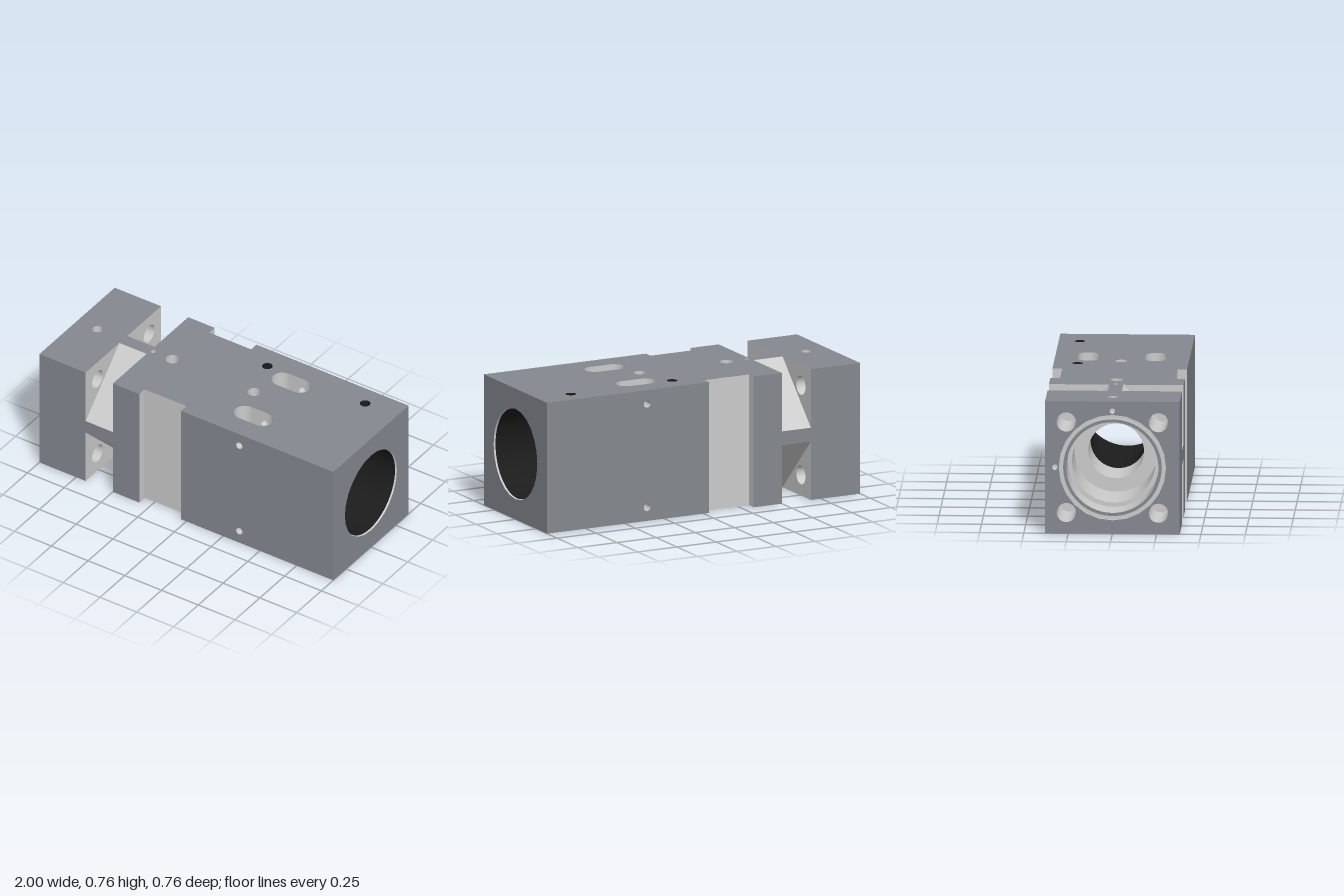
import * as THREE from 'three';
import { toCreasedNormals } from 'three/addons/utils/BufferGeometryUtils.js';

const H = 0.38;                 // half the square section
const R = 0.258;                // main bore radius
const SLOT = { x: 0.33, z: 0.19, r: 0.0625, len: 0.06 };
const N = 12;                   // segments per half circle

const mat = (color) => new THREE.MeshStandardMaterial({ color, side: THREE.DoubleSide });

export function createModel() {
  const model = new THREE.Group();
  const body = new THREE.Group();
  body.position.y = H;
  model.add(body);
  const painted = mat(0x858990), machined = mat(0xcccccc), dark = mat(0x1c1c1c);

  const add = (name, geometry, material) => {
    const mesh = new THREE.Mesh(geometry, material);
    mesh.name = name;
    body.add(mesh);
    return mesh;
  };

  // Outline of a round hole (len 0) or a slot with rounded ends
  const outline = ({ u, v, r, len = 0 }) => {
    const pts = [];
    for (const side of [1, -1]) {
      for (let i = 0; i <= N; i++) {
        const a = -Math.PI / 2 + (Math.PI * i) / N;
        pts.push(new THREE.Vector2(u + side * (len + r * Math.cos(a)), v + side * r * Math.sin(a)));
      }
    }
    return pts;
  };

  // Quads between two rows of points
  const strip = (rowA, rowB, skip = () => false) => {
    const pos = [];
    for (let i = 0; i < rowA.length - 1; i++) {
      if (skip(i)) continue;
      const [a, b, c, d] = [rowA[i], rowA[i + 1], rowB[i + 1], rowB[i]];
      for (const p of [a, b, c, a, c, d]) pos.push(p.x, p.y, p.z);
    }
    const g = new THREE.BufferGeometry();
    g.setAttribute('position', new THREE.Float32BufferAttribute(pos, 3));
    return toCreasedNormals(g, 0.6);
  };

  // Face planes: normal and horizontal direction
  const V = (x, y, z) => new THREE.Vector3(x, y, z);
  const planes = {
    '+x': [V(1, 0, 0), V(0, 0, -1)], '-x': [V(-1, 0, 0), V(0, 0, 1)],
    '+y': [V(0, 1, 0), V(1, 0, 0)], '-y': [V(0, -1, 0), V(1, 0, 0)],
    '+z': [V(0, 0, 1), V(1, 0, 0)], '-z': [V(0, 0, -1), V(-1, 0, 0)],
  };

  // Flat face with holes; a hole with a depth also gets walls, and a floor if blind
  const face = (name, dir, dist, corners, holes = [], material = painted) => {
    const [n, u] = planes[dir];
    const m = new THREE.Matrix4().makeBasis(u, n.clone().cross(u), n);
    m.setPosition(n.clone().multiplyScalar(dist));
    const shape = new THREE.Shape(corners.map(([a, b]) => new THREE.Vector2(a, b)));
    for (const h of holes) {
      const pts = outline(h);
      shape.holes.push(new THREE.Path(pts));
      if (!h.depth) continue;
      const depth = typeof h.depth === 'function' ? h.depth : () => h.depth;
      const loop = [...pts, pts[0]];
      const wall = strip(loop.map((p) => V(p.x, p.y, 0)), loop.map((p) => V(p.x, p.y, -depth(p.y))),
        (i) => i % (N + 1) === N);
      add(h.name || 'holeWall', wall.applyMatrix4(m), h.material || machined);
      if (h.blind) {
        const floor = new THREE.ShapeGeometry(new THREE.Shape(pts)).translate(0, 0, -h.depth);
        add('holeFloor', floor.applyMatrix4(m), h.material || machined);
      }
    }
    add(name, new THREE.ShapeGeometry(shape).applyMatrix4(m), material);
  };
  const rect = (a0, a1, b0, b1) => [[a0, b0], [a1, b0], [a1, b1], [a0, b1]];
  const square = rect(-H, H, -H, H);
  const center = (r) => ({ u: 0, v: 0, r });

  // Mounting flange
  const bolts = (depth) => [-0.26, 0.26].flatMap((u) => [-0.26, 0.26].map((v) =>
    ({ u, v, r: 0.055, depth, name: 'boltHole' })));
  const dowels = [[0, 0.325], [-0.325, 0]].map(([u, v]) => ({ u, v, r: 0.016, depth: 0.08, blind: true }));
  face('flangeFace', '-x', 1, square, [center(0.303), ...bolts(0.315), ...dowels]);
  face('flangeInnerFace', '+x', -0.685, square, [center(0.28), ...bolts(0)], machined);
  face('flangeTop', '+y', H, rect(-1, -0.685, -H, H), [{ u: -0.86, v: 0, r: 0.03, depth: 0.1, blind: true }]);
  face('flangeBottom', '-y', H, rect(-1, -0.685, -H, H));
  face('flangeFront', '+z', H, rect(-1, -0.685, -H, H));
  face('flangeBack', '-z', H, rect(0.685, 1, -H, H));

  // Neck with diagonal cuts giving room for the bolts
  for (let i = 0; i < 4; i++) {
    const flat = new THREE.PlaneGeometry(0.185, 0.08).translate(-0.5925, 0, H);
    add('neckFlat', flat.rotateX((i * Math.PI) / 2), painted);
    const cut = new THREE.PlaneGeometry(0.185, 0.34 * Math.SQRT2).translate(-0.5925, 0, 0.42 / Math.SQRT2);
    add('neckDiagonal', cut.rotateX((i + 0.5) * Math.PI / 2), machined);
  }

  // Top and bottom of the main body, waisted at the side grooves
  const plan = [[-0.5, -H], [-0.32, -H], [-0.32, -0.325], [-0.035, -0.325], [-0.035, -H], [1, -H],
    [1, H], [-0.035, H], [-0.035, 0.325], [-0.32, 0.325], [-0.32, H], [-0.5, H]];
  const boreHeight = (z) => Math.sqrt(R * R - z * z);
  const slots = [-1, 1].map((s) => ({ u: SLOT.x, v: s * SLOT.z, r: SLOT.r, len: SLOT.len,
    depth: (z) => H - boreHeight(z), name: 'slotEnds' }));
  const blind = (u, v, r, depth, material) => ({ u, v, r, depth, blind: true, material });
  face('bodyTop', '+y', H, plan, [...slots, blind(-0.48, 0, 0.015, 0.06), blind(-0.35, 0, 0.04, 0.09),
    blind(0.205, 0, 0.038, 0.08), blind(0.13, 0.245, 0.03, 0.2, dark), blind(0.785, 0.26, 0.03, 0.2, dark)]);
  face('bodyBottom', '-y', H, plan, [...slots, blind(0.13, -0.245, 0.018, 0.15), blind(0.785, -0.26, 0.018, 0.15)]);

  // Body ends and steps
  face('collarInnerFace', '-x', 0.5, square, [center(0.28)], machined);
  face('bodyEnd', '+x', 1, square, [center(0.2625)]);
  for (const s of [-1, 1]) {
    const [a, b] = s > 0 ? [0.325, H] : [-H, -0.325];
    face('grooveStep', '+x', -0.32, rect(a, b, -H, H), [], machined);
    face('grooveStep', '-x', 0.035, rect(a, b, -H, H), [], machined);
  }

  // Body sides with cross holes
  const outer = SLOT.z + SLOT.r, inner = SLOT.z - SLOT.r;
  for (const [dir, s] of [['+z', 1], ['-z', -1]]) {
    const span = (x0, x1) => rect(Math.min(s * x0, s * x1), Math.max(s * x0, s * x1), -H, H);
    const cross = (v, depth) => ({ u: s * 0.36, v, r: 0.022, depth, name: 'crossHole' });
    face('collarSide', dir, H, span(-0.5, -0.32));
    face('grooveSide', dir, 0.325, span(-0.32, -0.035), [], machined);
    face('bodySide', dir, H, span(-0.035, 1), [cross(0.3, H - outer), cross(-0.3, H - outer)]);
    // Straight slot walls, pierced by the cross holes
    for (const t of [-1, 1]) {
      for (const z of [outer, inner]) {
        const x0 = s * SLOT.x - SLOT.len, x1 = s * SLOT.x + SLOT.len, y = boreHeight(z);
        const depth = z === inner ? inner : 0;
        face('slotWall', dir, z, t > 0 ? rect(x0, x1, y, H) : rect(x0, x1, -H, -y), [cross(t * 0.3, depth)], machined);
      }
    }
  }

  // Bore sections turned about the x axis, as [radius, x]
  const turned = (name, profile, material) => {
    const g = new THREE.LatheGeometry(profile.map(([r, x]) => new THREE.Vector2(r, x)), 72);
    add(name, toCreasedNormals(g.rotateZ(-Math.PI / 2), 0.5), material);
  };
  const reach = SLOT.len + SLOT.r;
  turned('sealGroove', [[0.303, -1], [0.303, -0.975], [0.278, -0.975], [0.278, -1]], machined);
  turned('flangeRim', [[0.278, -1], [0.26, -1]], painted);
  turned('flangeBore', [[0.26, -1], [0.26, -0.82], [0.235, -0.82], [0.235, -0.5], [0.157, -0.5], [0.157, -0.2]], machined);
  turned('steppedBore', [[0.157, -0.2], [0.157, 0.08], [0.193, 0.08], [0.193, 0.12], [R, 0.12], [R, SLOT.x - reach]], dark);
  turned('threadedBore', [[R, SLOT.x + reach], [R, 0.99]], dark);
  turned('boreChamfer', [[R, 0.99], [0.2625, 1]], machined);

  // Bore section opened by the slots
  const columns = [];
  for (let i = 0; i <= N; i++) {
    const a = Math.PI - (Math.PI * i) / N;
    const dx = Math.cos(a) * SLOT.r, h = Math.sin(a) * SLOT.r;
    if (dx < 1e-6) columns.push([SLOT.x - SLOT.len + dx, h]);
    if (dx > -1e-6) columns.push([SLOT.x + SLOT.len + dx, h]);
  }
  const arcRow = ([x, h], k) => {
    const t1 = Math.asin((SLOT.z - h) / R), t2 = Math.asin((SLOT.z + h) / R);
    const [a, b] = [[-t1, t1], [t2, Math.PI - t2], [Math.PI - t1, Math.PI + t1], [Math.PI + t2, 2 * Math.PI - t2]][k];
    return Array.from({ length: 17 }, (_, j) => {
      const t = a + ((b - a) * j) / 16;
      return V(x, R * Math.cos(t), R * Math.sin(t));
    });
  };
  for (let k = 0; k < 4; k++) {
    for (let i = 0; i < columns.length - 1; i++) {
      add('slottedBore', strip(arcRow(columns[i], k), arcRow(columns[i + 1], k)), dark);
    }
  }
  return model;
}
